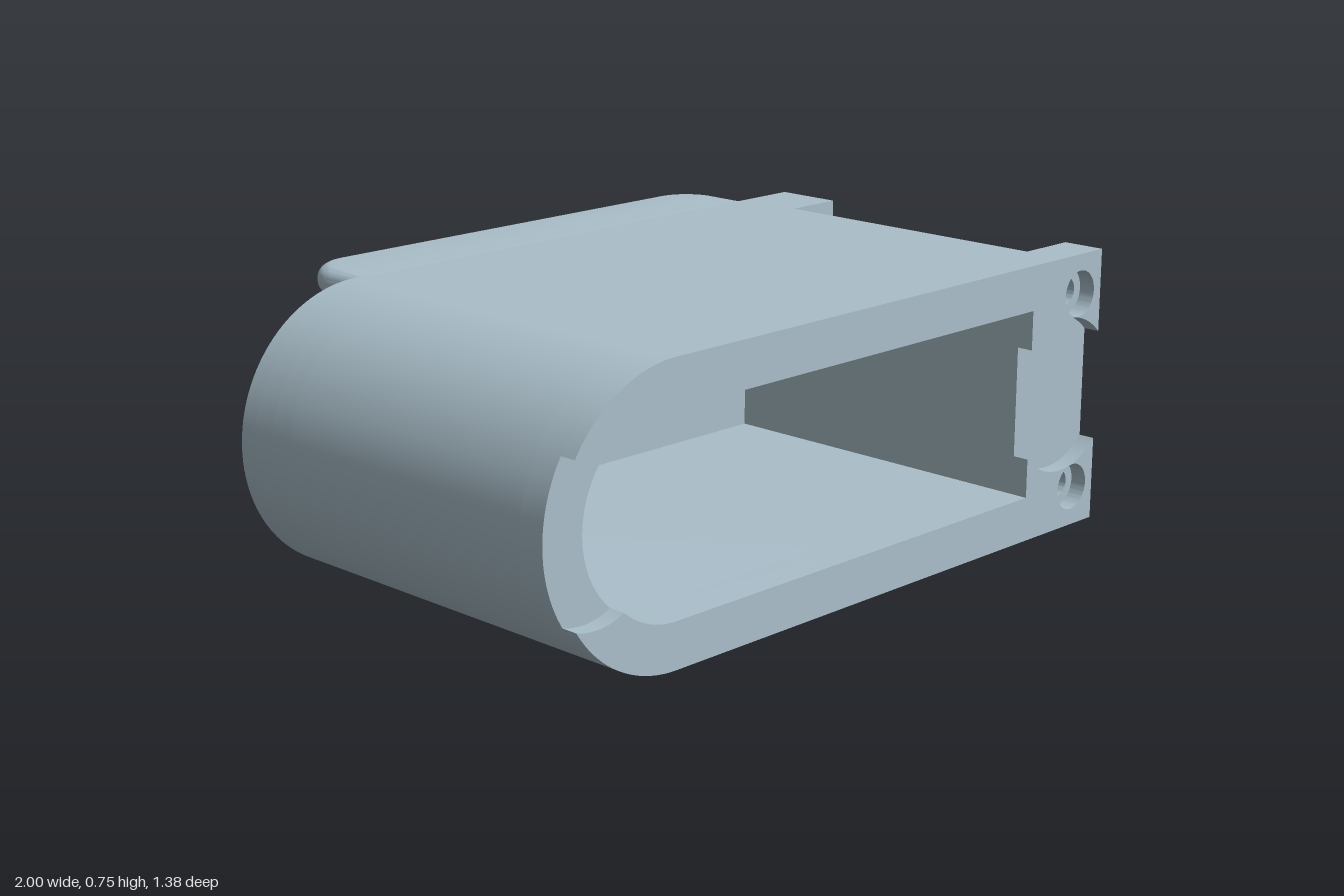
import * as THREE from 'three';
import { toCreasedNormals } from 'three/addons/utils/BufferGeometryUtils.js';

const MID = 0.376;      // mid height, also the outer end radius
const ARC_X = -0.624;   // centre of the rounded left end
const INNER = 0.255;    // cavity half height
const CAVITY_X = 0.705;
const BODY_X = 0.83;
const NOTCH_R = 0.21;   // finger notch radius
const LEFT_NOTCH = -0.88, RIGHT_NOTCH = 0.853;
const SCREW_X = 0.908, SCREW_Y = 0.268;

// Outline with a round left end and a square right end
function dShape(radius, right, Type = THREE.Shape) {
  const s = new Type();
  s.moveTo(ARC_X, -radius);
  s.lineTo(right, -radius);
  s.lineTo(right, radius);
  s.lineTo(ARC_X, radius);
  s.absarc(ARC_X, 0, radius, Math.PI / 2, Math.PI * 1.5, false);
  return s;
}

function circleHole(x, y, r) {
  return new THREE.Path().absarc(x, y, r, 0, Math.PI * 2, false);
}

// Where the left notch circle meets a circle around the rounded end
function notchMeet(radius) {
  const d = ARC_X - LEFT_NOTCH;
  const a = (d * d + radius * radius - NOTCH_R * NOTCH_R) / (2 * d);
  const h = Math.sqrt(radius * radius - a * a);
  return { arc: Math.PI - Math.atan2(h, a), notch: Math.atan2(h, d - a) };
}

// Half of the front rim, above (1) or below (-1) the finger notches
function rimShape(sign) {
  const outer = notchMeet(MID), inner = notchMeet(INNER);
  const s = new THREE.Shape();
  s.absarc(ARC_X, 0, MID, outer.arc, Math.PI / 2, true);
  s.lineTo(1, MID);
  s.absarc(RIGHT_NOTCH, 0, NOTCH_R, Math.acos((1 - RIGHT_NOTCH) / NOTCH_R),
    Math.acos((CAVITY_X - RIGHT_NOTCH) / NOTCH_R), false);
  s.lineTo(CAVITY_X, INNER);
  s.absarc(ARC_X, 0, INNER, Math.PI / 2, inner.arc, false);
  // the notch edge runs outwards; its angles are measured from +x
  s.absarc(LEFT_NOTCH, 0, NOTCH_R, inner.notch, outer.notch, false);
  const pts = s.getPoints(32).map(p => new THREE.Vector2(p.x, p.y * sign));
  const rim = new THREE.Shape(pts);
  rim.holes.push(circleHole(SCREW_X, SCREW_Y * sign, 0.063));
  return rim;
}

export function createModel() {
  const group = new THREE.Group();
  const plastic = new THREE.MeshStandardMaterial({ color: 0xaabfca });
  plastic.name = 'blue grey plastic';

  function add(name, geometry) {
    const mesh = new THREE.Mesh(toCreasedNormals(geometry, 0.6), plastic);
    mesh.name = name;
    group.add(mesh);
  }

  function slab(name, shape, z0, z1) {
    const g = new THREE.ExtrudeGeometry(shape, { depth: z1 - z0, bevelEnabled: false, curveSegments: 32 });
    g.translate(0, MID, z0);
    add(name, g);
  }

  // One section of the housing, with optional cavity and screw holes
  function section(name, z0, z1, right, hollow, screwRadius) {
    const s = dShape(MID, right);
    if (hollow) s.holes.push(dShape(INNER, CAVITY_X, THREE.Path));
    if (screwRadius) {
      for (const y of [-SCREW_Y, SCREW_Y]) s.holes.push(circleHole(SCREW_X, y, screwRadius));
    }
    slab(name, s, z0, z1);
  }

  // Front rim with finger notches and counterbores
  slab('frontRimTop', rimShape(1), 0.645, 0.69);
  slab('frontRimBottom', rimShape(-1), 0.645, 0.69);

  // Housing from front to back
  section('frontFlange', 0.57, 0.645, 1, true, 0.036);
  section('housing', -0.26, 0.57, BODY_X, true, 0);
  section('backFlange', -0.33, -0.26, 1, true, 0.036);
  section('backWall', -0.4, -0.33, 1, false, 0.036);
  section('backFace', -0.45, -0.4, 1, false, 0.063);

  // Rounded rails on the back, flush with the top and bottom
  const b = 0.036, thick = 0.078, r = 0.13;
  const x0 = ARC_X, x1 = BODY_X, back = 0.695;
  const rail = new THREE.Shape();
  rail.moveTo(x0, 0.405);
  rail.lineTo(x1, 0.405);
  rail.lineTo(x1, back - r);
  rail.absarc(x1 - r, back - r, r, 0, Math.PI / 2, false);
  rail.lineTo(x0 + r, back);
  rail.absarc(x0 + r, back - r, r, Math.PI / 2, Math.PI, false);
  for (const [name, y] of [['bottomRail', 0], ['topRail', 2 * MID - thick]]) {
    const g = new THREE.ExtrudeGeometry(rail, {
      depth: thick - 2 * b, bevelThickness: b, bevelSize: b, bevelOffset: -b,
      bevelSegments: 8, curveSegments: 16,
    });
    g.rotateX(-Math.PI / 2);
    g.translate(0, y + b, 0);
    add(name, g);
  }
  return group;
}
